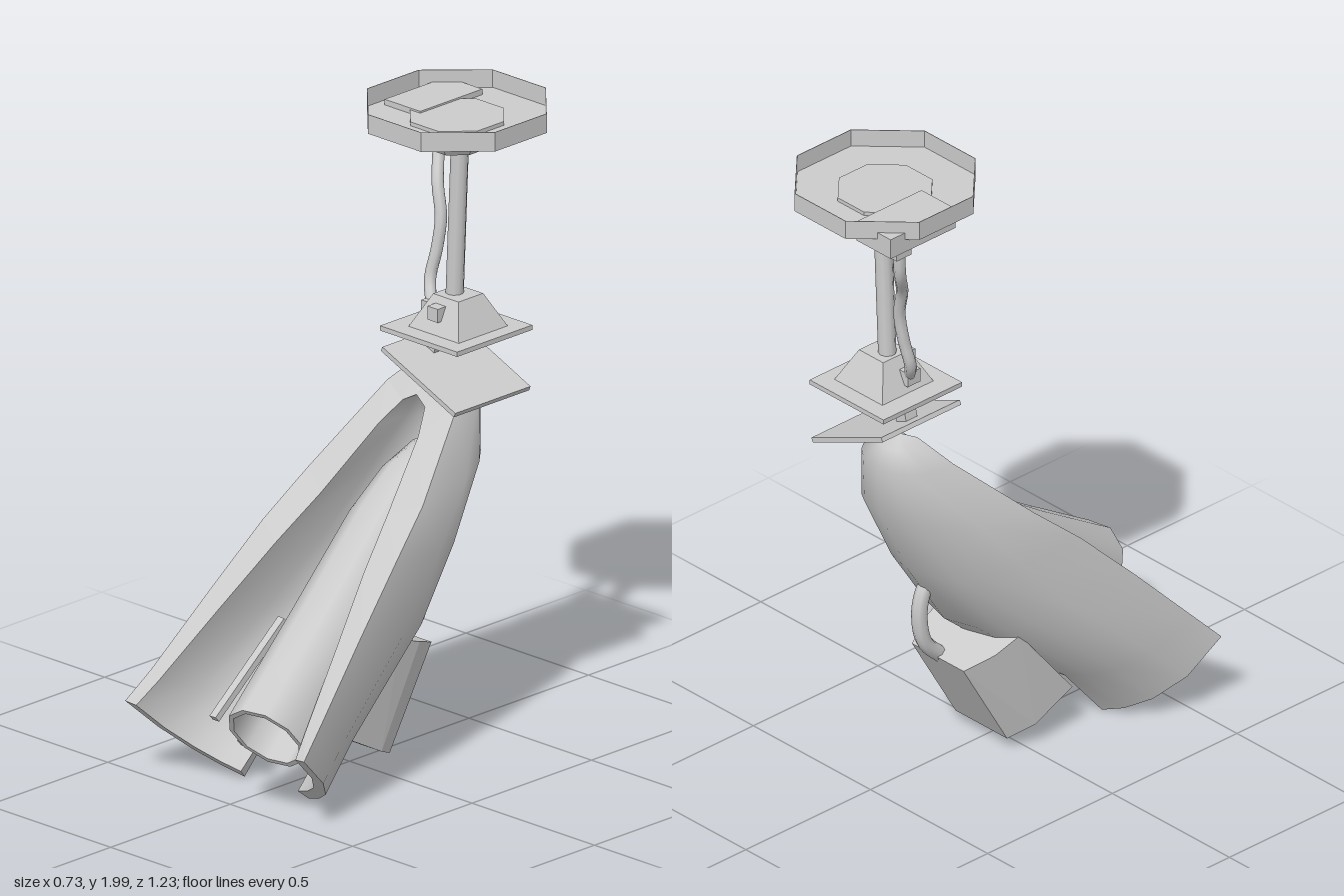
import * as THREE from 'three';
import { ConvexGeometry } from 'three/addons/geometries/ConvexGeometry.js';

const V = (x, y, z) => new THREE.Vector3(x, y, z);
const flat = new THREE.MeshStandardMaterial({ color: 0xcccccc, flatShading: true, side: THREE.DoubleSide });
const smooth = new THREE.MeshStandardMaterial({ color: 0xcccccc, side: THREE.DoubleSide });

// Surface through rows of points, leaving out the cells for which skip is true
function grid(rows, skip = () => false) {
  const n = rows[0].length, index = [];
  for (let r = 0; r < rows.length - 1; r++) {
    for (let c = 0; c < n - 1; c++) {
      if (skip(r, c)) continue;
      const a = r * n + c, b = a + 1, d = a + n, e = d + 1;
      index.push(a, d, b, b, d, e);
    }
  }
  const g = new THREE.BufferGeometry().setFromPoints(rows.flat());
  g.setIndex(index);
  g.computeVertexNormals();
  return g;
}

export function createModel() {
  const model = new THREE.Group();
  const add = (name, geometry, material = flat, parent = model) => {
    const mesh = new THREE.Mesh(geometry, material);
    mesh.name = name;
    parent.add(mesh);
    return mesh;
  };
  const box = (name, w, h, d, x, y, z) => {
    const m = add(name, new THREE.BoxGeometry(w, h, d));
    m.position.set(x, y, z);
    return m;
  };
  // Straight part between two points
  const between = (name, a, b, geometryOf, material = flat) => {
    const dir = b.clone().sub(a);
    const m = add(name, geometryOf(dir.length()), material);
    m.position.copy(a).add(b).multiplyScalar(0.5);
    m.quaternion.setFromUnitVectors(V(0, 1, 0), dir.normalize());
    return m;
  };
  const rod = (r, sides = 10) => (len) => new THREE.CylinderGeometry(r, r, len, sides);
  const bar = (w, d) => (len) => new THREE.BoxGeometry(w, len, d);
  const hose = (name, pts, r) =>
    add(name, new THREE.TubeGeometry(new THREE.CatmullRomCurve3(pts), 20, r, 8), smooth);

  // Octagonal ceiling dish and its collar
  const dish = [[0, 1.94], [0.283, 1.94], [0.283, 2], [0.281, 2], [0.281, 1.945], [0, 1.945]];
  const collar = [[0, 1.862], [0.09, 1.862], [0.148, 1.94], [0.148, 1.957], [0, 1.957]];
  for (const [name, profile] of [['ceilingDish', dish], ['collar', collar]]) {
    const pts = profile.map(([r, y]) => new THREE.Vector2(r, y));
    add(name, new THREE.LatheGeometry(pts, 8, Math.PI / 8)).position.set(0.092, 0, -0.355);
  }
  box('junctionBox', 0.145, 0.065, 0.26, -0.067, 1.93, -0.42);
  box('cableSocket', 0.045, 0.04, 0.06, -0.1, 1.885, -0.48);

  // Pole and cable
  between('pole', V(0.107, 1.87, -0.352), V(0.085, 1.38, -0.352), rod(0.027), smooth);
  hose('cable', [V(-0.1, 1.88, -0.48), V(-0.092, 1.79, -0.468), V(-0.045, 1.69, -0.415), V(-0.017, 1.6, -0.4),
    V(-0.02, 1.5, -0.385), V(-0.028, 1.41, -0.365), V(0.015, 1.345, -0.33)], 0.018);

  // Pyramid foot and the two swivel plates
  const foot = add('pyramidFoot', new THREE.CylinderGeometry(0.073, 0.147, 0.105, 4, 1, false, Math.PI / 4));
  foot.position.set(0.1, 1.35, -0.352);
  box('footButton', 0.042, 0.042, 0.04, 0.09, 1.36, -0.275);
  box('cableClip', 0.04, 0.045, 0.05, 0.015, 1.345, -0.33);
  box('upperPlate', 0.315, 0.015, 0.315, 0.092, 1.293, -0.352);
  between('upperStrut', V(0.022, 1.29, -0.352), V(-0.003, 1.19, -0.352), bar(0.045, 0.045));
  box('lowerPlate', 0.325, 0.015, 0.315, 0.09, 1.165, -0.352).rotation.z = -0.41;
  between('lowerStrut', V(0.095, 1.165, -0.352), V(0.05, 1.07, -0.352), bar(0.05, 0.05));

  // Hood: U-shaped sections given as [half width, rim y, rim z, belly y, belly z]
  const outerRows = [
    [0, 1.18, -0.39, 1.18, -0.39], [0.06, 1.175, -0.36, 1.14, -0.43], [0.145, 1.09, -0.29, 1.085, -0.46],
    [0.235, 0.86, -0.045, 0.92, -0.446], [0.27, 0.73, 0.105, 0.68, -0.33],
    [0.305, 0.55, 0.285, 0.46, -0.19], [0.345, 0.34, 0.485, 0.165, 0.15], [0.365, 0.255, 0.565, -0.007, 0.287]];
  const innerRows = [
    [0, 1.08, -0.28, 1.08, -0.29], [0.045, 1.06, -0.26, 1.05, -0.34], [0.08, 1.0, -0.19, 0.99, -0.38],
    [0.135, 0.82, 0, 0.88, -0.38], [0.18, 0.69, 0.145, 0.67, -0.28],
    [0.24, 0.51, 0.32, 0.47, -0.15], [0.3, 0.32, 0.5, 0.19, 0.165], [0.325, 0.25, 0.56, 0.023, 0.32]];
  const last = outerRows.length - 1;
  const angles = [-90, -67, -48, -33, -21, 0, 21, 33, 48, 67, 90].map((a) => a * Math.PI / 180);
  // Sections are squarer at the top and rounder at the mouth, and the middle leans to one side
  const section = ([w, ry, rz, by, bz], row) => angles.map((a) => {
    const f = 1 - Math.max(0, Math.cos(a)) ** (0.53 + 0.065 * row);
    const lean = 0.02 * Math.sin(Math.PI * row / last);
    return V(w * Math.sin(a) + lean, by + (ry - by) * f, bz + (rz - bz) * f);
  });
  const outer = outerRows.map(section), inner = innerRows.map(section);
  const notch = (r, c) => r === last - 1 && (c === 4 || c === 5);
  const hood = new THREE.Group();
  hood.name = 'hood';
  model.add(hood);
  add('hoodOutside', grid(outer, notch), smooth, hood);
  add('hoodInside', grid(inner, notch), smooth, hood);
  for (const c of [0, 10]) {
    add('hoodRim', grid([outer.map((r) => r[c]), inner.map((r) => r[c])]), flat, hood);
  }
  // End edge, running round the notch in the belly
  const edge = angles.map((a, c) => [c === 5 ? last - 1 : last, c]);
  edge.splice(5, 1, [last - 1, 4], [last - 1, 5], [last - 1, 6]);
  add('hoodEndEdge', grid([outer, inner].map((s) => edge.map(([r, c]) => s[r][c]))), flat, hood);

  // Ten-sided barrel inside the hood: [x, y, z, radius]
  const stations = [[0.187, 0.275, 0.54, 0.128], [0.116, 0.5, 0.21, 0.124], [0.053, 0.72, -0.09, 0.117],
    [0.03, 0.83, -0.22, 0.092], [0.02, 0.905, -0.31, 0.055], [0.02, 0.905, -0.31, 0]];
  const axis = V(0.13, -0.45, 0.66).normalize();
  const side = V(0, 1, 0).cross(axis).normalize(), up = axis.clone().cross(side);
  const ring = ([x, y, z, r]) => Array.from({ length: 11 }, (_, i) => {
    const a = i * Math.PI / 5;
    return V(x, y, z).addScaledVector(side, r * Math.cos(a)).addScaledVector(up, r * Math.sin(a));
  });
  const bore = stations.map(([x, y, z, r]) => [x, y, z, Math.max(0, r - 0.016)]);
  add('barrel', grid(stations.map(ring)), smooth);
  add('barrelBore', grid(bore.map(ring)), smooth);
  add('barrelMouth', grid([ring(stations[0]), ring(bore[0])]));

  // Fin, bolt and small tab inside the hood
  between('fin', V(-0.165, 0.44, 0.11), V(-0.177, 0.2, 0.385), bar(0.027, 0.02));
  between('bolt', V(-0.13, 0.33, 0.15), V(-0.088, 0.145, 0.325), rod(0.015, 8));
  between('boltHead', V(-0.09, 0.15, 0.32), V(-0.085, 0.132, 0.338), rod(0.034, 8));
  box('tab', 0.1, 0.012, 0.05, -0.07, 0.515, 0.02).rotation.z = -0.15;

  // Pack under the hood, chamfered outwards: [z, y, half width]
  const pack = [[0.16, 0.16, 0.16], [0.02, 0.085, 0.15], [-0.055, 0.05, 0.11],
    [-0.05, 0.42, 0.16], [-0.14, 0.385, 0.15], [-0.23, 0.35, 0.11]];
  add('pack', new ConvexGeometry(pack.flatMap(([z, y, w]) => [V(-w, y, z), V(w, y, z)])));
  hose('packHose', [V(0.02, 0.33, -0.19), V(0.02, 0.41, -0.265), V(0.02, 0.5, -0.285),
    V(0.02, 0.57, -0.275), V(0.02, 0.63, -0.24)], 0.024);

  return model;
}
